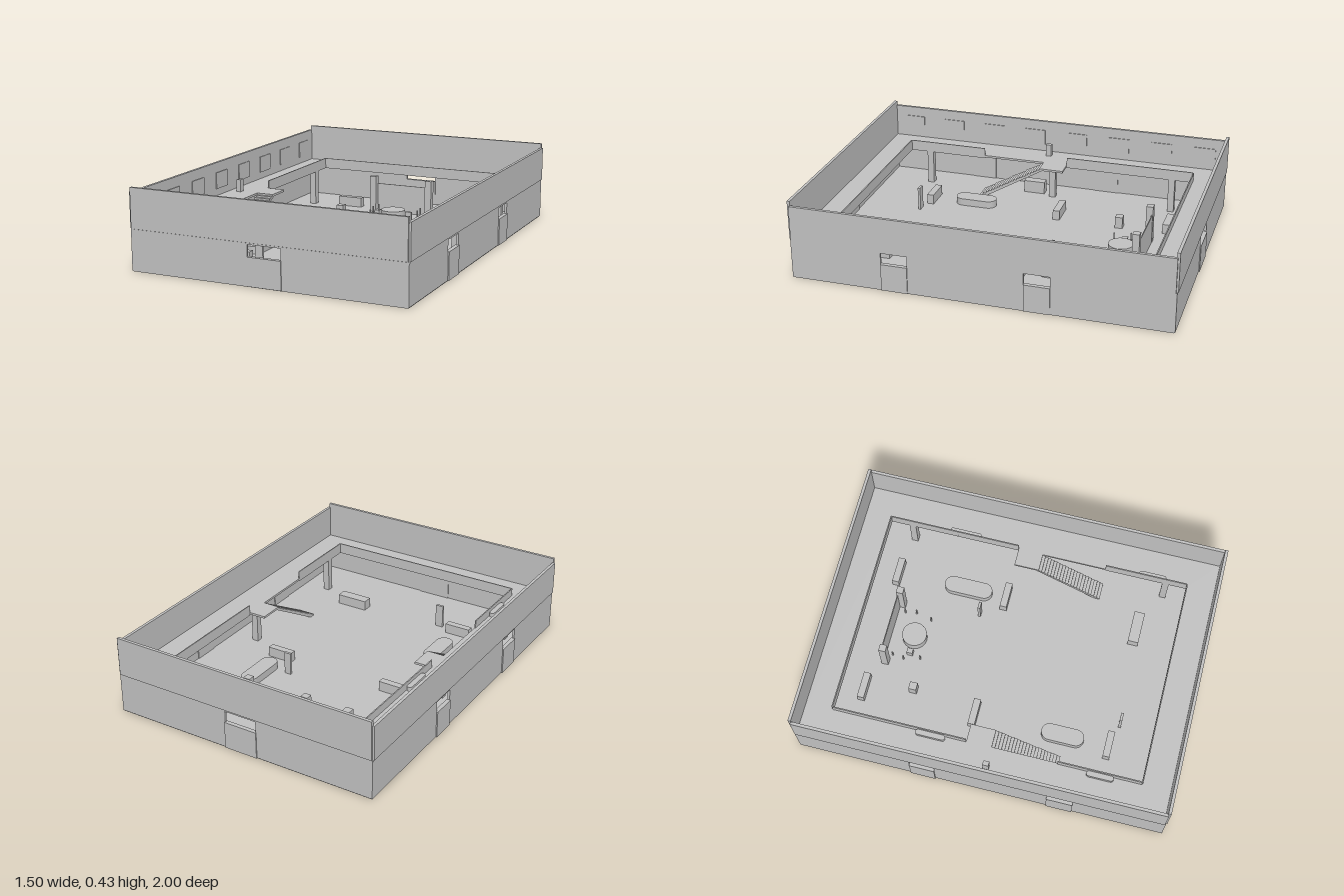
import * as THREE from 'three';

const grey = new THREE.MeshStandardMaterial({ color: 0xc0c0c0 });
grey.name = 'plain grey';

export function createModel() {
  const root = new THREE.Group();
  root.name = 'building';

  const add = (name, geo, x = 0, y = 0, z = 0) => {
    const m = new THREE.Mesh(geo, grey);
    m.name = name;
    m.position.set(x, y, z);
    root.add(m);
    return m;
  };
  // box given by its centre in x and z and its bottom and top heights
  const box = (name, x, z, w, d, y0, y1) =>
    add(name, new THREE.BoxGeometry(w, y1 - y0, d), x, (y0 + y1) / 2, z);
  const polygon = pts => pts.map(p => new THREE.Vector2(p[0], p[1]));
  const extrude = (shape, depth) => new THREE.ExtrudeGeometry(shape, { depth, bevelEnabled: false, curveSegments: 8 });
  const rect = (a, b, c, d) => polygon([[a, c], [b, c], [b, d], [a, d]]);

  // wall standing along x, with window holes [from, to]
  const wallGeometry = (half, y0, y1, windows) => {
    const s = new THREE.Shape(rect(-half, half, y0, y1));
    for (const [a, b] of windows) s.holes.push(new THREE.Path(rect(a, b, 0.15, 0.21)));
    return extrude(s, 0.012).translate(0, 0, -0.006);
  };

  // floor slab
  box('floor', 0, 0, 1.48, 1.98, 0, 0.01);

  // outer walls, lower storey with windows and upper storey solid
  const sideWindows = [[-0.375, -0.24], [0.365, 0.505]];
  for (const s of [-1, 1]) {
    add('lowerEndWall', wallGeometry(0.744, 0.005, 0.218, [[-0.09, 0.09]]), 0, 0, s * 0.989);
    const side = add('lowerSideWall', wallGeometry(0.983, 0.005, 0.218, sideWindows), s * 0.738, 0, 0);
    side.rotation.y = -Math.PI / 2;
    box('upperEndWall', 0, s * 0.992, 1.48, 0.016, 0.22, 0.43);
    box('upperSideWall', s * 0.742, 0, 0.016, 1.98, 0.22, 0.405);
    // panels below the windows
    box('windowPanel', 0, s * 0.989, 0.186, 0.022, 0.004, 0.15);
    for (const [a, b] of sideWindows)
      box('windowPanel', s * 0.739, (a + b) / 2, 0.022, b - a, 0.004, 0.15);
  }

  // gallery floor around an open hall, with a stair landing on each side
  const gallery = new THREE.Shape(rect(-0.745, 0.745, -0.99, 0.99));
  const half = [[0.565, -0.835], [0.565, -0.11], [0.47, -0.11], [0.47, 0.01], [0.565, 0.01], [0.565, 0.83]];
  const opening = [...half, ...half.map(([x, z]) => [-x, z]).reverse()];
  gallery.holes.push(new THREE.Path(polygon(opening)));
  add('galleryFloor', extrude(gallery, 0.012).rotateX(Math.PI / 2), 0, 0.222, 0);

  // parapets along the opening
  for (const z of [-0.837, 0.832]) box('parapet', 0, z, 1.134, 0.006, 0.205, 0.265);
  for (const s of [-1, 1]) {
    box('parapet', s * 0.568, -0.4725, 0.006, 0.725, 0.205, 0.265);
    box('parapet', s * 0.568, 0.605, 0.006, 0.45, 0.205, 0.265);
  }

  // thin stairs from the landing down to the floor
  const steps = 22, run = 0.37 / steps, rise = 0.212 / steps;
  const profile = [[0.01, 0.21]];
  for (let i = 0; i < steps; i++) {
    const y = 0.222 - i * rise;
    profile.push([0.01 + i * run, y], [0.01 + (i + 1) * run, y]);
  }
  profile.push([0.38, 0.01], [0.365, 0.0]);
  const stairGeo = extrude(new THREE.Shape(polygon(profile)), 0.095).translate(0, 0, -0.0475);
  for (const s of [-1, 1]) {
    const stair = add('stairs', stairGeo, s * 0.5175, 0, 0);
    stair.rotation.y = -Math.PI / 2;
  }

  // columns under the gallery
  for (const s of [-1, 1])
    for (const z of [-0.717, -0.025, 0.717]) box('galleryColumn', s * 0.585, z, 0.036, 0.036, 0.01, 0.212);

  // two tall columns with a screen between them
  for (const s of [-1, 1]) box('screenColumn', s * 0.173, -0.678, 0.038, 0.038, 0.01, 0.22);
  box('screen', 0, -0.692, 0.33, 0.005, 0.01, 0.175);

  // round table, seat and slim posts
  add('roundTable', new THREE.CylinderGeometry(0.068, 0.068, 0.05, 32), 0, 0.035, -0.56);
  box('seat', -0.096, -0.56, 0.028, 0.032, 0.01, 0.05);
  for (const s of [-1, 1])
    for (const [x, z] of [[0.13, -0.65], [0.138, -0.587], [0.116, -0.498]])
      box('slimPost', s * x, z, 0.007, 0.007, 0.01, 0.06);

  // counters and small furniture in the hall
  for (const [x, z, w] of [[-0.352, -0.747, 0.145], [0.348, -0.747, 0.145], [-0.352, -0.127, 0.145],
    [0.348, -0.127, 0.145], [-0.352, 0.617, 0.145], [0.337, 0.617, 0.178]])
    box('counter', x, z, w, w > 0.15 ? 0.058 : 0.038, 0.01, 0.065);
  box('pedestal', -0.296, -0.485, 0.042, 0.042, 0.01, 0.075);
  box('signBoard', 0.225, -0.246, 0.038, 0.014, 0.01, 0.135);
  box('signBoard', -0.212, 0.651, 0.044, 0.014, 0.01, 0.14);
  box('underGalleryCounter', -0.62, 0.09, 0.05, 0.12, 0.01, 0.08);

  // rounded islands in the hall and rounded benches on the gallery
  const capsule = (name, x, z, w, len, y0, y1) => {
    const r = w / 2, h = len / 2 - r;
    const s = new THREE.Shape();
    s.absarc(0, h, r, 0, Math.PI, false);
    s.absarc(0, -h, r, Math.PI, Math.PI * 2, false);
    add(name, extrude(s, y1 - y0).rotateX(-Math.PI / 2), x, y0, z);
  };
  capsule('island', 0.347, -0.343, 0.092, 0.27, 0.01, 0.05);
  capsule('island', -0.358, 0.365, 0.092, 0.235, 0.01, 0.05);
  for (const [x, z, len] of [[0.58, -0.413, 0.175], [0.58, 0.64, 0.15], [-0.585, -0.3, 0.16], [-0.585, 0.61, 0.145]])
    capsule('galleryBench', x, z, 0.028, len, 0.222, 0.245);
  box('galleryPost', -0.675, 0.025, 0.025, 0.032, 0.222, 0.29);

  // row of framed panels on the inside of the right upper wall
  for (let i = 0; i < 8; i++)
    box('wallPanel', -0.7325, -0.87 + i * 0.2486, 0.006, 0.12, 0.26, 0.35);

  return root;
}
